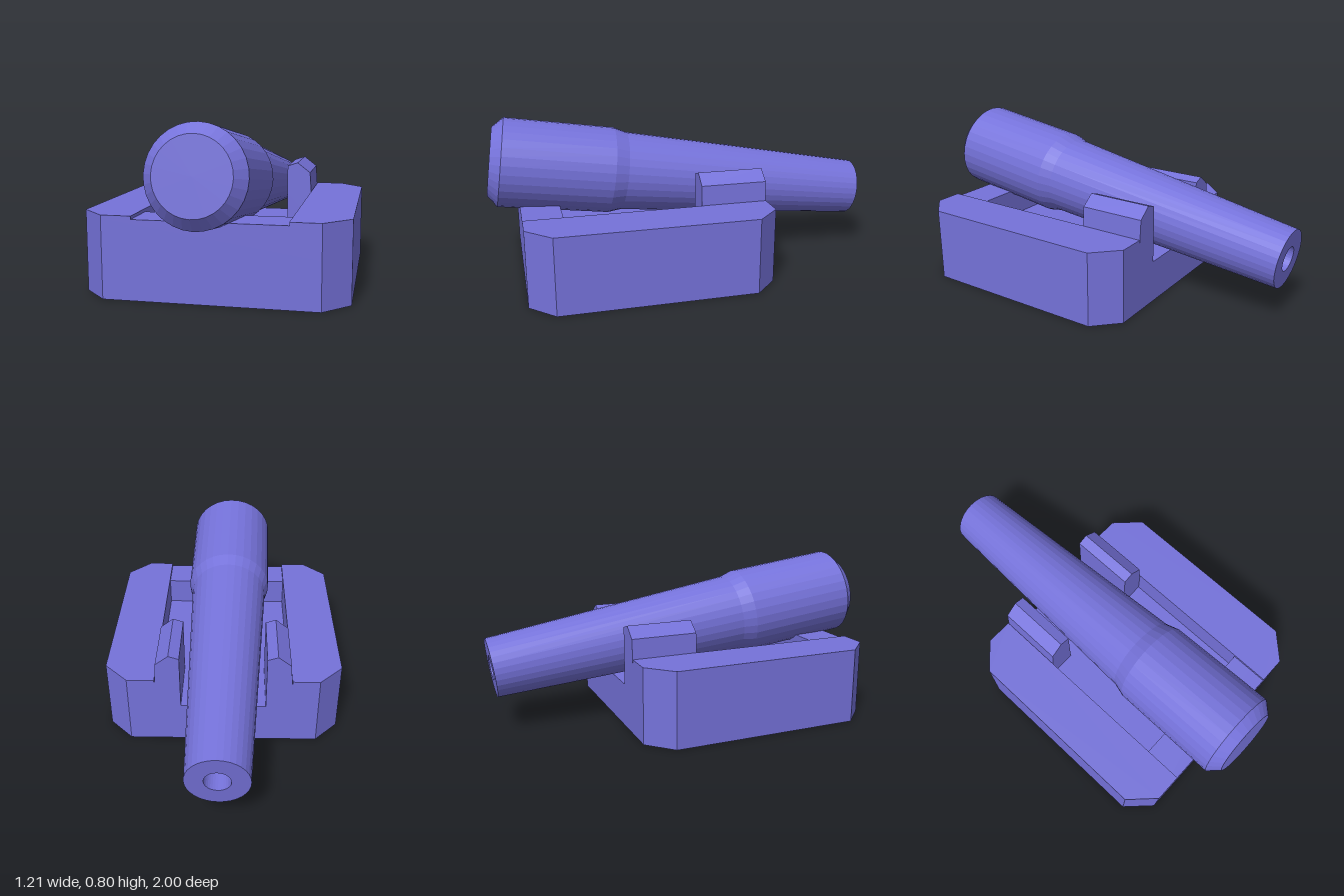
import * as THREE from 'three';

export function createModel() {
  const model = new THREE.Group();
  const paint = new THREE.MeshStandardMaterial({ color: 0x7572da, flatShading: true });
  paint.name = 'violet';

  function add(name, geometry, parent = model) {
    const mesh = new THREE.Mesh(geometry, paint);
    mesh.name = name;
    parent.add(mesh);
    return mesh;
  }

  // Plan outline given as [x, z], raised from y0 to y1
  function slab(name, plan, y0, y1, parent) {
    const shape = new THREE.Shape(plan.map(([x, z]) => new THREE.Vector2(x, -z)));
    const geometry = new THREE.ExtrudeGeometry(shape, { depth: y1 - y0, bevelEnabled: false });
    geometry.rotateX(-Math.PI / 2).translate(0, y0, 0);
    return add(name, geometry, parent);
  }

  const W = 0.605, CX = 0.485;            // half width, start of corner cut
  const BACK = -0.365, FRONT = 0.845, CUT = 0.12;
  const SLOT = 0.347, NECK = 0.217;       // slot half widths
  const STEP = -0.03, LEDGE = 0.65;       // slot stations along z
  const FLOOR = 0.22, SHELF = 0.365, TOP = 0.38;

  const rightEdge = [[CX, BACK], [W, BACK + CUT], [W, FRONT - CUT], [CX, FRONT]];
  const mirror = (points) => points.map(([x, z]) => [-x, z]).reverse();

  // Base: solid bottom, slotted middle, raised side rails
  const base = new THREE.Group();
  base.name = 'base';
  model.add(base);
  slab('baseBottom', [...rightEdge, ...mirror(rightEdge)], 0, FLOOR, base);
  const slotEdge = [[SLOT, LEDGE], [SLOT, STEP], [NECK, STEP], [NECK, BACK]];
  const half = [...slotEdge, ...rightEdge];
  slab('baseSlotted', [...half, ...mirror(half)], FLOOR, SHELF, base);
  const rail = [[SLOT, BACK], ...rightEdge, [SLOT, FRONT]];
  slab('leftRail', rail, SHELF, TOP, base);
  slab('rightRail', mirror(rail), SHELF, TOP, base);

  // Cradle cheeks on either side of the barrel
  const cheek = [[0.217, SHELF], [0.345, SHELF], [0.337, 0.478], [0.27, 0.53], [0.217, 0.512]];
  for (const side of [1, -1]) {
    const outline = side > 0 ? cheek : mirror(cheek);
    const shape = new THREE.Shape(outline.map(([x, y]) => new THREE.Vector2(x, y)));
    const geometry = new THREE.ExtrudeGeometry(shape, { depth: STEP - BACK, bevelEnabled: false });
    geometry.translate(0, 0, BACK);
    add(side > 0 ? 'leftCheek' : 'rightCheek', geometry);
  }

  // Barrel: lathe from breech to muzzle, with an open bore
  const breech = new THREE.Vector3(-0.033, 0.578, 0.978);
  const muzzle = new THREE.Vector3(0.013, 0.3125, -0.978);
  const length = breech.distanceTo(muzzle);
  const profile = [
    [0, 0], [0.174, 0], [0.227, 0.054], [0.223, 0.613], [0.204, 0.681],
    [0.149, length], [0.062, length], [0.062, length - 0.8], [0, length - 0.8],
  ].map(([r, y]) => new THREE.Vector2(r, y));
  const barrel = add('barrel', new THREE.LatheGeometry(profile, 32));
  barrel.position.copy(breech);
  barrel.quaternion.setFromUnitVectors(
    new THREE.Vector3(0, 1, 0), muzzle.clone().sub(breech).normalize());

  return model;
}
